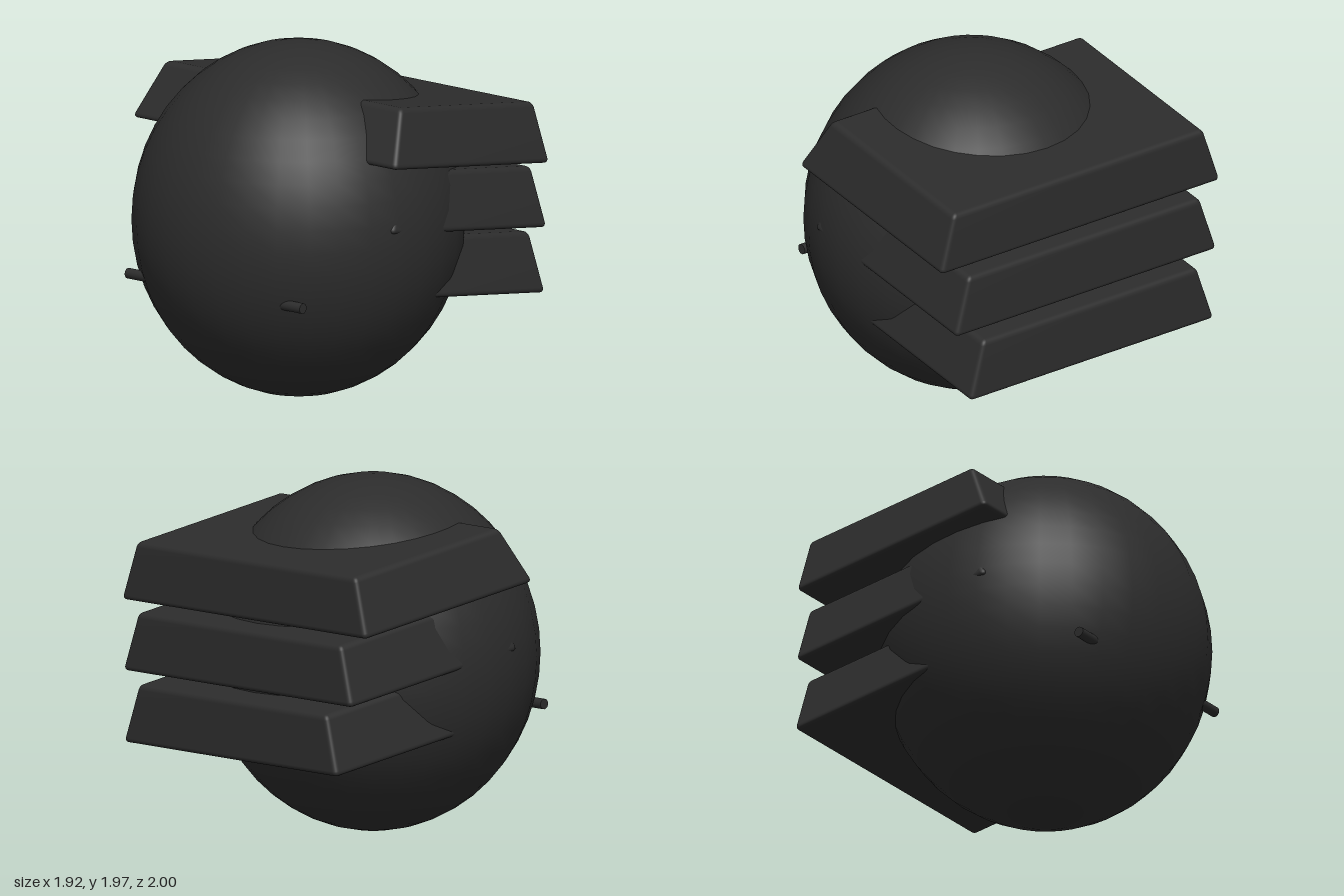
import * as THREE from 'three';
import { RoundedBoxGeometry } from 'three/addons/geometries/RoundedBoxGeometry.js';
import { mergeVertices } from 'three/addons/utils/BufferGeometryUtils.js';

const charcoal = new THREE.MeshStandardMaterial({ color: 0x2c2c2c });
charcoal.name = 'charcoal';

function add(parent, name, geometry) {
  const mesh = new THREE.Mesh(geometry, charcoal);
  mesh.name = name;
  parent.add(mesh);
  return mesh;
}

// Rounded slab narrowing towards its top; origin at the middle of its lower back edge
function slabGeometry(width, height, depth) {
  const box = new RoundedBoxGeometry(width, height, depth, 3, 0.03);
  box.deleteAttribute('normal');
  box.deleteAttribute('uv');
  const g = mergeVertices(box, 1e-4);
  g.clearGroups();
  g.translate(0, height / 2, depth / 2);
  const p = g.attributes.position;
  for (let i = 0; i < p.count; i++) {
    const t = p.getY(i) / height;
    const x = p.getX(i), z = p.getZ(i);
    const k = z / depth;
    p.setX(i, x * (1 - 0.21 * t / width));
    p.setZ(i, z + t * (0.065 * (1 - k) - 0.12 * k));
  }
  g.computeVertexNormals();
  return g;
}

export function createModel() {
  const model = new THREE.Group();
  model.name = 'helmet';

  // Egg-shaped shell
  const shell = add(model, 'shell', new THREE.SphereGeometry(1, 32, 24));
  shell.scale.set(0.92, 0.985, 0.91);
  shell.position.set(0, 0.985, 0.09);

  // Three stacked slabs sloping down to the back: [name, half width, y, z]
  const slabs = [
    ['upperSlab', 0.97, 1.265, -0.895],
    ['middleSlab', 0.907, 0.885, -0.945],
    ['lowerSlab', 0.847, 0.5, -0.997],
  ];
  for (const [name, half, y, z] of slabs) {
    const slab = add(model, name, slabGeometry(half * 2, 0.325, 1.29));
    slab.position.set(0, y, z);
    slab.rotation.x = -0.142;
  }

  // Small side pins
  for (const side of [1, -1]) {
    const pin = add(model, side > 0 ? 'leftPin' : 'rightPin',
      new THREE.CylinderGeometry(0.029, 0.029, 0.24, 20));
    pin.rotation.z = Math.PI / 2;
    pin.position.set(side * 0.52, 0.69, 0.772);
  }
  return model;
}
